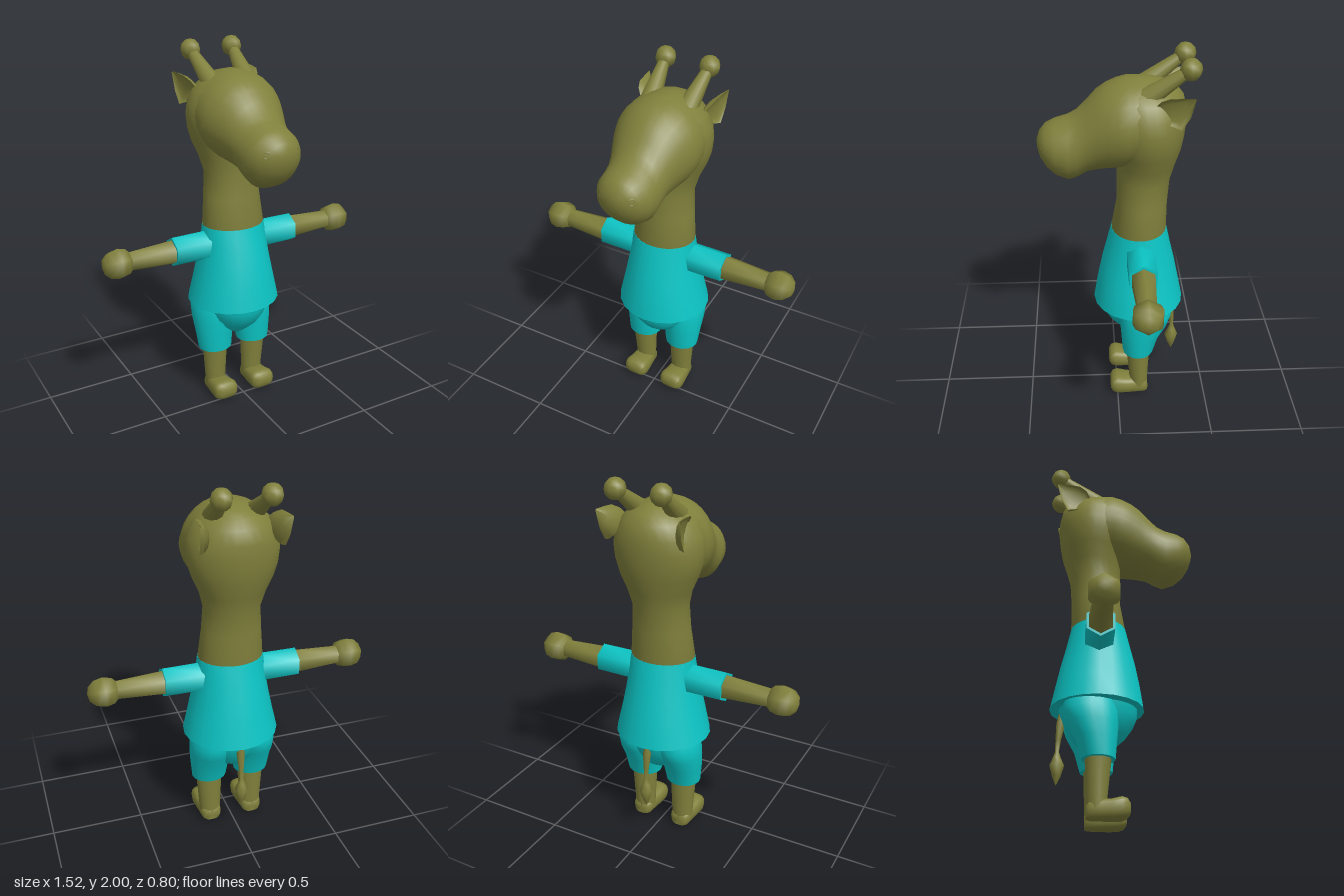
import * as THREE from 'three';
import { toCreasedNormals } from 'three/addons/utils/BufferGeometryUtils.js';

const skin = new THREE.MeshStandardMaterial({ color: 0x80803c });
const cloth = new THREE.MeshStandardMaterial({ color: 0x0cc4c4 });

function part(name, geometry, material) {
  const mesh = new THREE.Mesh(geometry, material);
  mesh.name = name;
  return mesh;
}

// Skin a list of rings (arrays of Vector3) and close both ends with fans.
function loft(rings) {
  const n = rings[0].length, pos = [], idx = [];
  rings.forEach(r => r.forEach(p => pos.push(p.x, p.y, p.z)));
  for (let i = 0; i < rings.length - 1; i++) {
    for (let j = 0; j < n; j++) {
      const a = i * n + j, b = i * n + (j + 1) % n;
      idx.push(a, b, a + n, b, b + n, a + n);
    }
  }
  [0, rings.length - 1].forEach((i, end) => {
    const c = new THREE.Vector3();
    rings[i].forEach(p => c.addScaledVector(p, 1 / n));
    const k = pos.length / 3;
    pos.push(c.x, c.y, c.z);
    for (let j = 0; j < n; j++) {
      const a = i * n + j, b = i * n + (j + 1) % n;
      end ? idx.push(k, a, b) : idx.push(k, b, a);
    }
  });
  const g = new THREE.BufferGeometry();
  g.setAttribute('position', new THREE.Float32BufferAttribute(pos, 3));
  g.setIndex(idx);
  return toCreasedNormals(g, 1.1);
}

// Unit ring; power below 1 makes it squarer.
function unitRing(n, power) {
  const bend = v => Math.sign(v) * Math.abs(v) ** power;
  return Array.from({ length: n }, (_, j) => {
    const t = (j / n) * Math.PI * 2;
    return [bend(Math.cos(t)), bend(Math.sin(t))];
  });
}

// Upright body: rows of [y, front z, back z, half width, centre x].
function upright(rows, n = 24) {
  return loft(rows.map(([y, f, b, w, cx = 0]) => unitRing(n, 1).map(([u, v]) =>
    new THREE.Vector3(cx + v * w, y, (f + b) / 2 + u * (f - b) / 2))));
}

// Body lying front to back: rows of [z, top y, bottom y, half width].
function lengthwise(rows, cx = 0, n = 24, power = 1) {
  return loft(rows.map(([z, t, b, w]) => unitRing(n, power).map(([u, v]) =>
    new THREE.Vector3(cx + u * w, (t + b) / 2 + v * (t - b) / 2, z))));
}

// Six-sided limb along x on one side of the body.
function limb(s, x0, x1, r0, r1) {
  const g = new THREE.CylinderGeometry(r1, r0, x1 - x0, 6);
  g.rotateY(Math.PI / 6).rotateZ(-s * Math.PI / 2).translate(s * (x0 + x1) / 2, 0.93, -0.12);
  return toCreasedNormals(g, 1.1);
}

// Cupped leaf-shaped ear.
function ear(s) {
  const rows = [[0.165, 1.74, -0.18, 0.03], [0.2, 1.755, -0.225, 0.065], [0.215, 1.755, -0.27, 0.085],
    [0.22, 1.79, -0.32, 0.052], [0.225, 1.835, -0.36, 0.004]];
  return loft(rows.map(([x, y, z, h]) => {
    const ring = unitRing(14, 1).map(([u, v]) => new THREE.Vector3(
      s * (x + (v < 0 ? v * 0.7 : -v * 0.3) * h), y + u * h * 0.93, z + u * h * 0.37));
    return s > 0 ? ring : ring.reverse();
  }));
}

// Horn shaft with a knob at the end.
function horn(s) {
  const group = new THREE.Group();
  group.name = 'horn';
  const base = new THREE.Vector3(s * 0.1, 1.79, -0.13), tip = new THREE.Vector3(s * 0.122, 1.945, -0.345);
  const dir = tip.clone().sub(base);
  const shaft = part('hornShaft', new THREE.CylinderGeometry(0.026, 0.055, dir.length(), 10), skin);
  shaft.position.copy(base).addScaledVector(dir, 0.5);
  shaft.quaternion.setFromUnitVectors(new THREE.Vector3(0, 1, 0), dir.clone().normalize());
  const knob = part('hornKnob', new THREE.SphereGeometry(0.055, 8, 6), skin);
  knob.position.copy(tip);
  group.add(shaft, knob);
  return group;
}

export function createModel() {
  const model = new THREE.Group();
  model.name = 'giraffe';

  // Neck rising into the skull
  model.add(part('neckAndSkull', upright([
    [1.0, 0.02, -0.26, 0.165], [1.04, 0.028, -0.264, 0.173], [1.2, 0.0, -0.265, 0.157],
    [1.33, 0.0, -0.275, 0.148], [1.42, 0.0, -0.3, 0.172], [1.5, 0.02, -0.325, 0.208],
    [1.57, 0.04, -0.338, 0.23], [1.64, 0.05, -0.345, 0.237], [1.71, 0.06, -0.345, 0.228],
    [1.78, 0.06, -0.33, 0.19], [1.82, 0.05, -0.295, 0.147], [1.85, 0.02, -0.24, 0.095],
    [1.87, -0.06, -0.16, 0.035]], 28), skin));

  // Face narrowing to a rounded muzzle
  model.add(part('muzzle', lengthwise([
    [-0.12, 1.87, 1.44, 0.225], [-0.05, 1.87, 1.42, 0.233], [0, 1.858, 1.41, 0.225], [0.05, 1.838, 1.405, 0.206],
    [0.1, 1.805, 1.397, 0.185], [0.15, 1.75, 1.385, 0.165], [0.2, 1.7, 1.355, 0.156],
    [0.245, 1.675, 1.34, 0.155], [0.31, 1.655, 1.368, 0.147], [0.355, 1.634, 1.41, 0.118],
    [0.385, 1.6, 1.46, 0.077], [0.4, 1.56, 1.51, 0.025]], 0, 28), skin));

  // Shirt and the seat of the shorts
  model.add(part('shirt', upright([
    [0.59, 0.125, -0.365, 0.258], [0.72, 0.105, -0.338, 0.228], [0.83, 0.083, -0.315, 0.205],
    [0.94, 0.055, -0.288, 0.187], [1.04, 0.03, -0.266, 0.175]], 20), cloth));
  model.add(part('shortsSeat', upright([
    [0.375, -0.06, -0.18, 0.03], [0.41, -0.015, -0.23, 0.095], [0.45, 0.03, -0.26, 0.135],
    [0.5, 0.065, -0.29, 0.165], [0.55, 0.085, -0.31, 0.185], [0.6, 0.09, -0.32, 0.195]]), cloth));

  // Tail with a tuft
  model.add(part('tail', upright([
    [0.2, -0.317, -0.321, 0.002], [0.245, -0.295, -0.339, 0.022], [0.3, -0.28, -0.354, 0.036],
    [0.34, -0.298, -0.338, 0.021], [0.37, -0.308, -0.328, 0.01], [0.43, -0.3, -0.328, 0.014],
    [0.52, -0.28, -0.326, 0.023], [0.6, -0.25, -0.31, 0.015]], 8), skin));

  for (const s of [1, -1]) {
    const side = new THREE.Group();
    side.name = s > 0 ? 'leftSide' : 'rightSide';

    // Arm
    side.add(part('sleeve', limb(s, 0.1, 0.368, 0.084, 0.082), cloth));
    side.add(part('forearm', limb(s, 0.34, 0.63, 0.07, 0.052), skin));
    const hand = new THREE.SphereGeometry(0.086, 6, 6).rotateZ(Math.PI / 2).translate(s * 0.675, 0.93, -0.12);
    side.add(part('hand', hand, skin));

    // Leg
    side.add(part('shortsLeg', upright([
      [0.298, -0.03, -0.2, 0.096, s * 0.122], [0.4, -0.022, -0.23, 0.107, s * 0.122],
      [0.48, -0.015, -0.275, 0.115, s * 0.12], [0.55, -0.015, -0.3, 0.117, s * 0.117],
      [0.61, -0.02, -0.29, 0.105, s * 0.11]], 16), cloth));
    side.add(part('leg', upright([
      [0.04, -0.07, -0.172, 0.058, s * 0.12], [0.12, -0.068, -0.174, 0.062, s * 0.12],
      [0.32, -0.048, -0.182, 0.073, s * 0.123]], 14), skin));
    side.add(part('foot', lengthwise([
      [-0.172, 0.07, 0.008, 0.04], [-0.155, 0.09, 0.003, 0.055], [-0.1, 0.1, 0.002, 0.06],
      [-0.05, 0.103, 0.002, 0.066], [0.0, 0.115, 0.004, 0.071], [0.026, 0.107, 0.014, 0.066],
      [0.04, 0.085, 0.032, 0.045]], s * 0.12, 16, 0.65), skin));

    // Head details
    side.add(part('ear', ear(s), skin), horn(s));
    const nostril = part('nostril', new THREE.TorusGeometry(0.016, 0.006, 6, 12), skin);
    nostril.position.set(s * 0.083, 1.55, 0.371);
    nostril.lookAt(s * 0.25, 1.6, 0.6);
    side.add(nostril);

    model.add(side);
  }
  return model;
}
